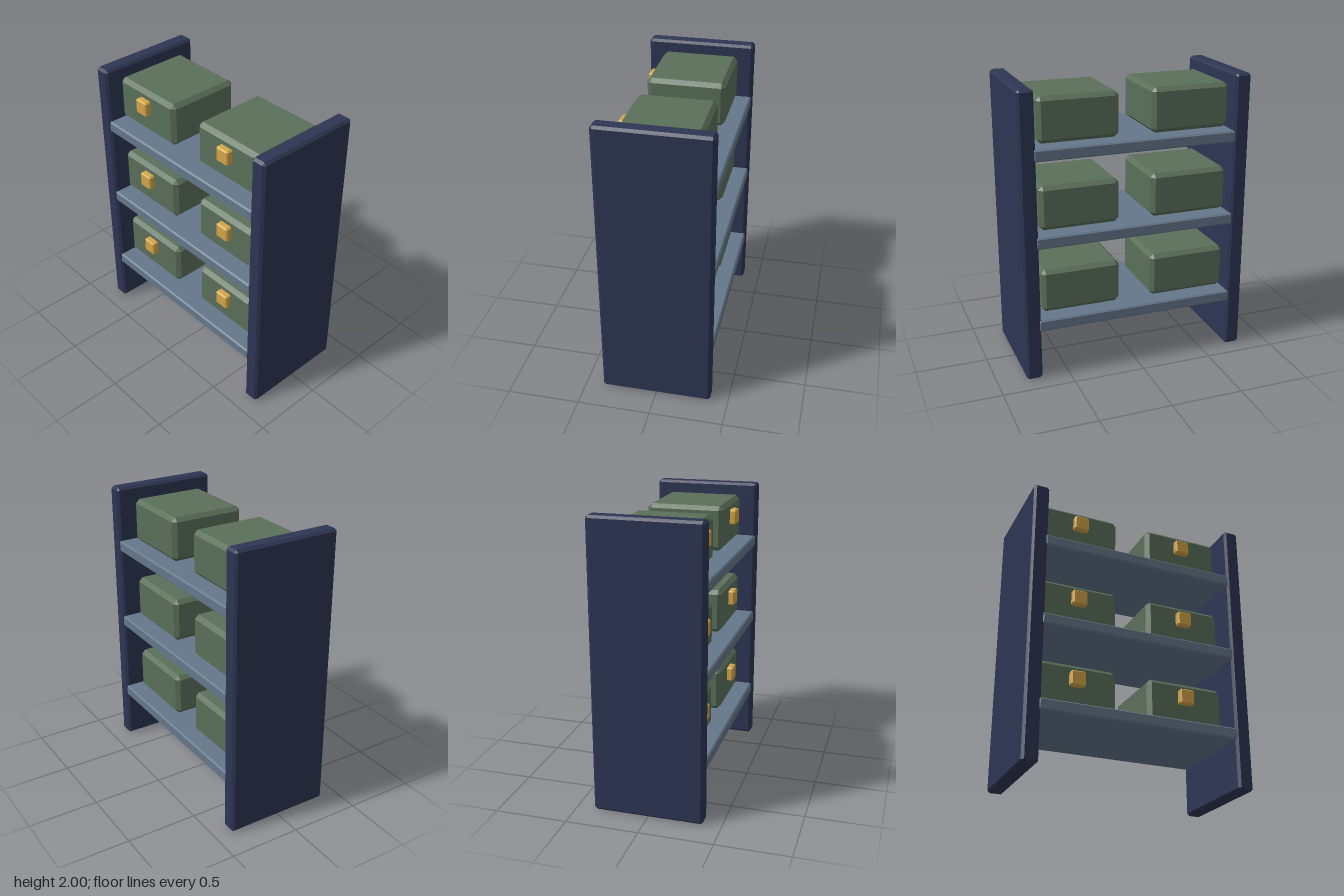
import * as THREE from 'three';
import { ConvexGeometry } from 'three/addons/geometries/ConvexGeometry.js';

// Box with flat chamfers on every edge
function chamferBox(w, h, d, c) {
  const points = [];
  for (const sx of [-1, 1]) for (const sy of [-1, 1]) for (const sz of [-1, 1]) {
    for (let axis = 0; axis < 3; axis++) {
      const inset = [c, c, c];
      inset[axis] = 0;
      points.push(new THREE.Vector3(
        sx * (w / 2 - inset[0]), sy * (h / 2 - inset[1]), sz * (d / 2 - inset[2])));
    }
  }
  return new ConvexGeometry(points);
}

export function createModel() {
  const group = new THREE.Group();
  const material = (name, color) => {
    const m = new THREE.MeshStandardMaterial({ color });
    m.name = name;
    return m;
  };
  const navy = material('navy', 0x2d3553);
  const slate = material('slate', 0x64778a);
  const green = material('green', 0x5a6f59);
  const amber = material('amber', 0xd4a548);

  const add = (name, geometry, mat, x, y, z) => {
    const mesh = new THREE.Mesh(geometry, mat);
    mesh.name = name;
    mesh.position.set(x, y, z);
    group.add(mesh);
  };

  const panelGeo = chamferBox(0.11, 2, 0.755, 0.017);
  const shelfGeo = chamferBox(1.408, 0.08, 0.75, 0.01);
  const binGeo = chamferBox(0.556, 0.307, 0.537, 0.028);
  const latchGeo = chamferBox(0.104, 0.105, 0.09, 0.009);

  // Upright side panels
  add('leftPanel', panelGeo, navy, 0.746, 1, 0);
  add('rightPanel', panelGeo, navy, -0.746, 1, 0);

  // Three shelves, each with two bins and their front latches
  [0.389, 0.982, 1.574].forEach((y, i) => {
    const n = i + 1;
    add(`shelf${n}`, shelfGeo, slate, 0, y, 0);
    for (const [side, binX, latchX] of [['Right', -0.417, -0.421], ['Left', 0.371, 0.368]]) {
      add(`bin${side}${n}`, binGeo, green, binX, y + 0.197, -0.003);
      add(`latch${side}${n}`, latchGeo, amber, latchX, y + 0.241, 0.265);
    }
  });

  return group;
}
